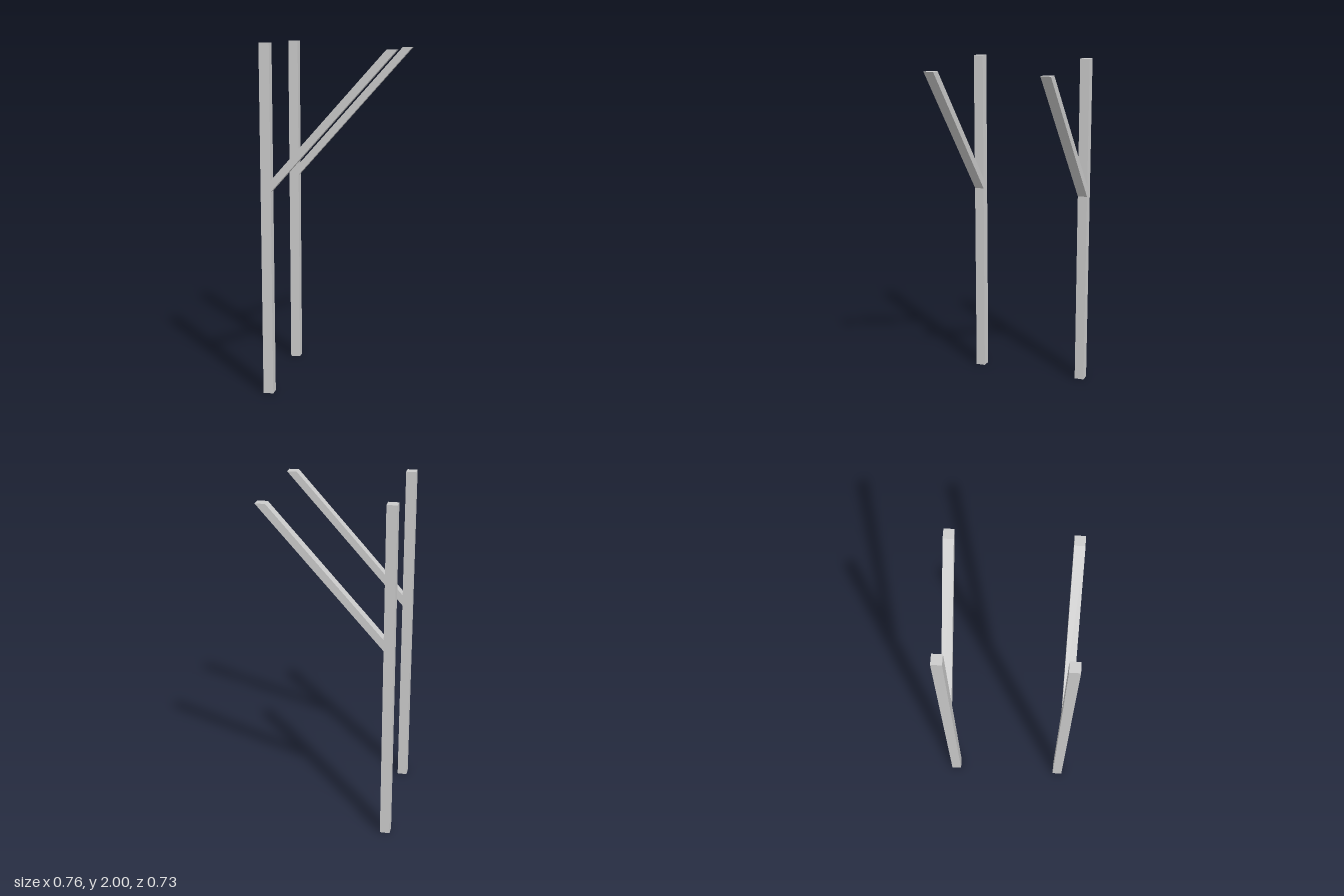
import * as THREE from 'three';

const T = 0.058; // timber thickness
const material = new THREE.MeshStandardMaterial({ color: 0xcccccc, flatShading: true });

// Side outline extruded to the timber thickness, centred on z = 0
function timber(name, points) {
  const shape = new THREE.Shape(points.map(([x, y]) => new THREE.Vector2(x, y)));
  const geometry = new THREE.ExtrudeGeometry(shape, { depth: T, bevelEnabled: false });
  geometry.translate(0, 0, -T / 2);
  const mesh = new THREE.Mesh(geometry, material);
  mesh.name = name;
  return mesh;
}

export function createModel() {
  const model = new THREE.Group();
  model.name = 'bracedPosts';
  const back = -0.379, face = back + T, tip = 0.379;

  for (const side of [1, -1]) {
    const frame = new THREE.Group();
    frame.name = side > 0 ? 'frontFrame' : 'backFrame';
    // Upright post
    frame.add(timber('post', [[back, 0], [face, 0], [face, 2], [back, 2]]));
    // Sloping brace, cut upright at the post and level at the tip
    frame.add(timber('brace', [[face, 1.18], [tip, 1.965], [tip - T, 1.965], [face, 1.245]]));
    frame.position.z = side * 0.336;
    model.add(frame);
  }
  return model;
}
